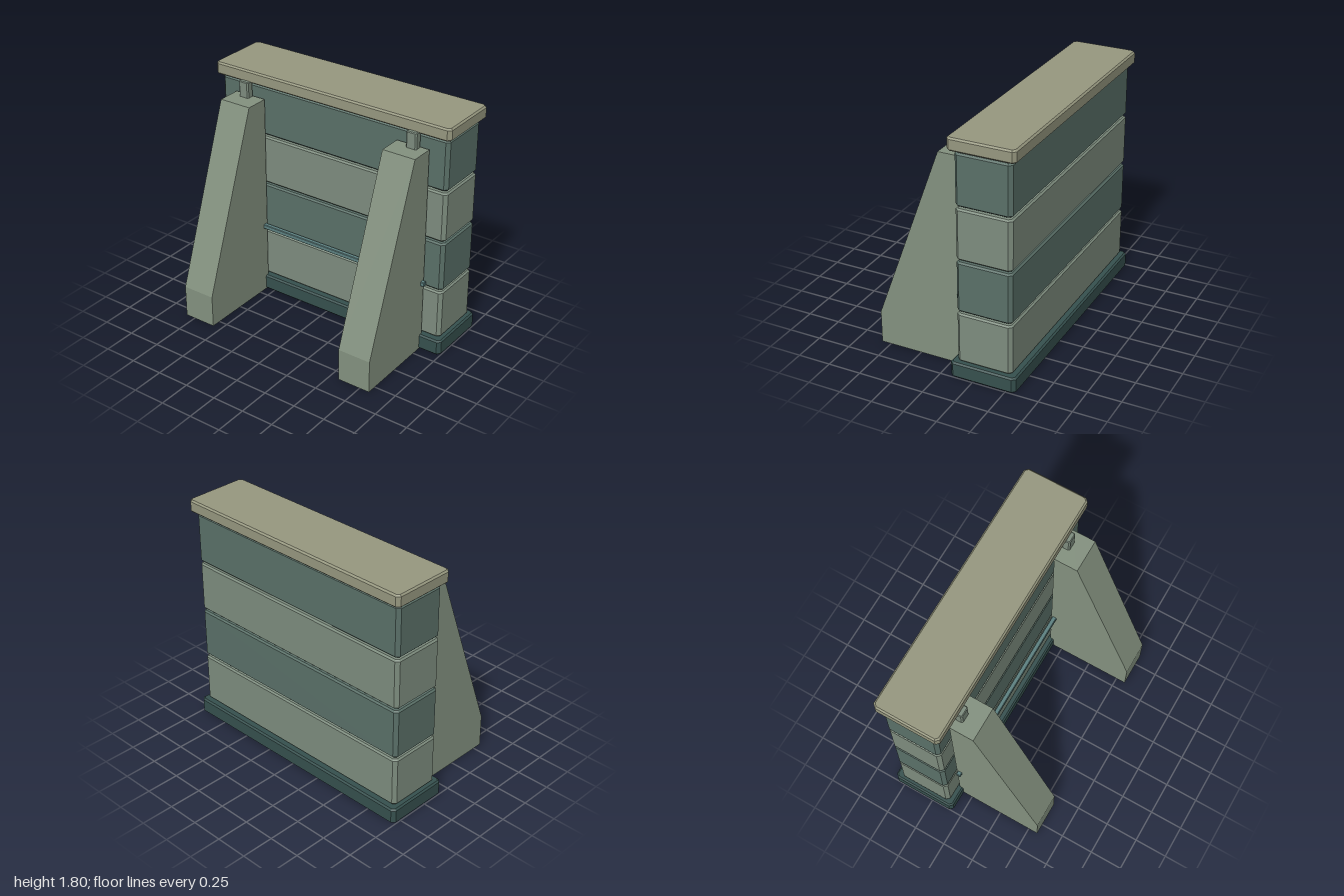
import * as THREE from 'three';

const mat = (color) => new THREE.MeshStandardMaterial({ color, flatShading: true });
const stoneDark = mat(0x5a7068), stoneLight = mat(0x7d8c7e), capStone = mat(0x96977f);
const footing = mat(0x36504e), concrete = mat(0x83917f), metal = mat(0x5c8080);

// Box with cut vertical corners and bevelled top and bottom edges
function chamferedBox(name, [x0, x1], [y0, y1], [z0, z1], corner, bevel, material) {
  const w = (x1 - x0) / 2, d = (z1 - z0) / 2, h = y1 - y0, c = corner;
  const shape = new THREE.Shape([
    [w, -d + c], [w, d - c], [w - c, d], [-w + c, d],
    [-w, d - c], [-w, -d + c], [-w + c, -d], [w - c, -d],
  ].map(([x, y]) => new THREE.Vector2(x, y)));
  const geo = new THREE.ExtrudeGeometry(shape, {
    depth: h - 2 * bevel, bevelEnabled: true, bevelSegments: 1,
    bevelThickness: bevel, bevelSize: bevel, bevelOffset: -bevel,
  });
  geo.translate(0, 0, bevel - h / 2).rotateX(-Math.PI / 2);
  const mesh = new THREE.Mesh(geo, material);
  mesh.name = name;
  mesh.position.set((x0 + x1) / 2, (y0 + y1) / 2, (z0 + z1) / 2);
  return mesh;
}

export function createModel() {
  const model = new THREE.Group();
  model.name = 'buttressedWall';

  // Footing and coping slab
  model.add(chamferedBox('footing', [-1, 1], [0, 0.12], [-0.573, -0.074], 0.025, 0.012, footing));
  model.add(chamferedBox('coping', [-1, 1], [1.708, 1.803], [-0.573, -0.074], 0.025, 0.012, capStone));

  // Four stacked courses, alternating in colour
  const courses = new THREE.Group();
  courses.name = 'courses';
  for (let i = 0; i < 4; i++) {
    const y = 0.124 + i * 0.3955;
    courses.add(chamferedBox('course' + (i + 1), [-0.97, 0.97], [y, y + 0.38],
      [-0.533, -0.115], 0.025, 0.012, i % 2 ? stoneDark : stoneLight));
  }
  model.add(courses);

  // Sloping buttresses, each with a pin on top
  const profile = new THREE.Shape([
    [-0.573, 0], [0.103, 0], [0.103, 1.6], [-0.078, 1.6], [-0.573, 0.25],
  ].map(([x, y]) => new THREE.Vector2(x, y)));
  const buttressGeo = new THREE.ExtrudeGeometry(profile, { depth: 0.258, bevelEnabled: false });
  buttressGeo.translate(0, 0, -0.129).rotateY(Math.PI / 2);
  for (const [side, s] of [['left', 1], ['right', -1]]) {
    const buttress = new THREE.Mesh(buttressGeo, concrete);
    buttress.name = side + 'Buttress';
    buttress.position.x = s * 0.699;
    model.add(buttress);
    const px = s * 0.717;
    model.add(chamferedBox(side + 'Pin', [px - 0.042, px + 0.042], [1.58, 1.722],
      [-0.104, -0.043], 0.01, 0.006, stoneLight));
  }

  // Tie bar running through both buttresses
  model.add(chamferedBox('tieBar', [-0.857, 0.857], [0.543, 0.577], [-0.094, -0.06], 0.004, 0.004, metal));
  return model;
}
